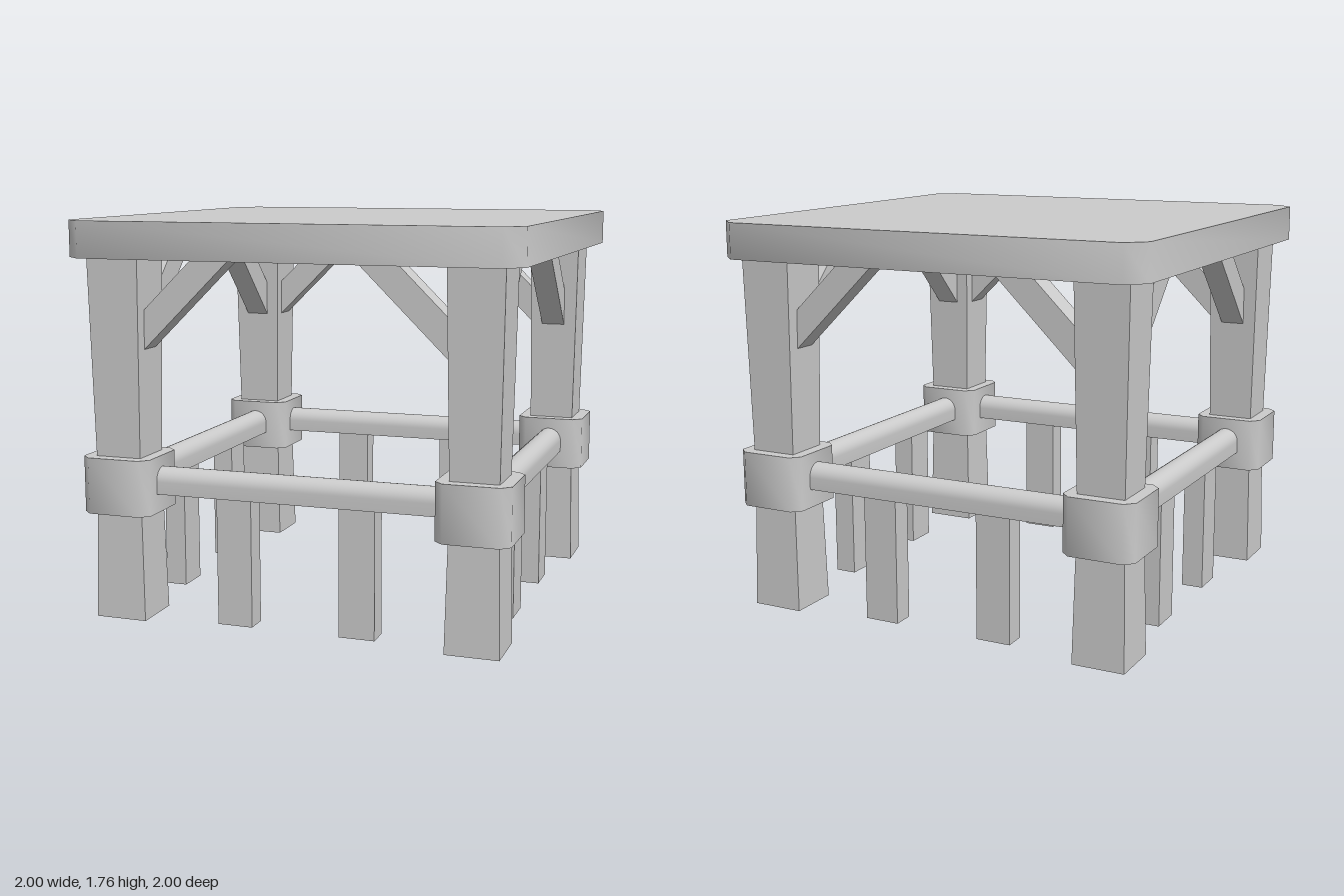
import * as THREE from 'three';
import { toCreasedNormals } from 'three/addons/utils/BufferGeometryUtils.js';

const material = new THREE.MeshStandardMaterial({ color: 0xcccccc });

function add(parent, name, geometry, x = 0, y = 0, z = 0) {
  const mesh = new THREE.Mesh(geometry, material);
  mesh.name = name;
  mesh.position.set(x, y, z);
  parent.add(mesh);
  return mesh;
}

// Square slab with cut corners, softly shaded round the sides, standing on y = 0
function cutCornerSlab(half, cut, height) {
  const a = half, b = half - cut;
  const shape = new THREE.Shape(
    [[a, -b], [a, b], [b, a], [-b, a], [-a, b], [-a, -b], [-b, -a], [b, -a]]
      .map(([x, y]) => new THREE.Vector2(x, y)));
  const geometry = new THREE.ExtrudeGeometry(shape, { depth: height, bevelEnabled: false });
  geometry.rotateX(-Math.PI / 2);
  return toCreasedNormals(geometry, 0.9);
}

// Square post that narrows to a waist and widens again towards the top
function legGeometry() {
  const points = [[0, 0], [0.118, 0], [0.104, 0.65], [0.12, 1.6], [0, 1.6]]
    .map(([half, y]) => new THREE.Vector2(half * Math.SQRT2, y));
  const geometry = new THREE.LatheGeometry(points, 4, Math.PI / 4).toNonIndexed();
  geometry.computeVertexNormals();
  return geometry;
}

// Handrail along x with a flat underside and a rounded top
function railGeometry(length) {
  const r = 0.06;
  const shape = new THREE.Shape();
  shape.moveTo(-r, 0.565);
  shape.lineTo(r, 0.565);
  shape.lineTo(r, 0.62);
  shape.absarc(0, 0.62, r, 0, Math.PI);
  shape.closePath();
  const geometry = new THREE.ExtrudeGeometry(shape, { depth: length, bevelEnabled: false, curveSegments: 8 });
  geometry.translate(0, 0, -length / 2);
  geometry.rotateY(Math.PI / 2);
  return toCreasedNormals(geometry, 0.9);
}

// Diagonal brace between a leg and the roof, on the +x side
function braceGeometry() {
  const shape = new THREE.Shape(
    [[0.7, 1.19], [0.7, 1.36], [0.45, 1.605], [0.277, 1.605]].map(([x, y]) => new THREE.Vector2(x, y)));
  const geometry = new THREE.ExtrudeGeometry(shape, { depth: 0.11, bevelEnabled: false });
  return geometry.translate(0, 0, -0.055);
}

export function createModel() {
  const model = new THREE.Group();
  model.name = 'squareShelter';

  // Roof
  add(model, 'roof', cutCornerSlab(1, 0.08, 0.16), 0, 1.6, 0);

  // Corner legs and their collars
  const leg = legGeometry();
  const collar = cutCornerSlab(0.16, 0.04, 0.25);
  for (const x of [-0.8, 0.8]) {
    for (const z of [-0.8, 0.8]) {
      add(model, 'leg', leg, x, 0, z);
      add(model, 'collar', collar, x, 0.48, z);
    }
  }

  // Four identical sides: rail, two short posts, two braces
  const rail = railGeometry(1.4);
  const post = new THREE.BoxGeometry(0.16, 0.57, 0.1);
  const brace = braceGeometry();
  for (let i = 0; i < 4; i++) {
    const side = new THREE.Group();
    side.name = 'side';
    side.rotation.y = i * Math.PI / 2;
    model.add(side);
    add(side, 'rail', rail, 0, 0, 0.8);
    for (const s of [-1, 1]) {
      add(side, 'railPost', post, s * 0.28, 0.285, 0.8);
      add(side, 'brace', brace, 0, 0, 0.8).rotation.y = s > 0 ? 0 : Math.PI;
    }
  }
  return model;
}
